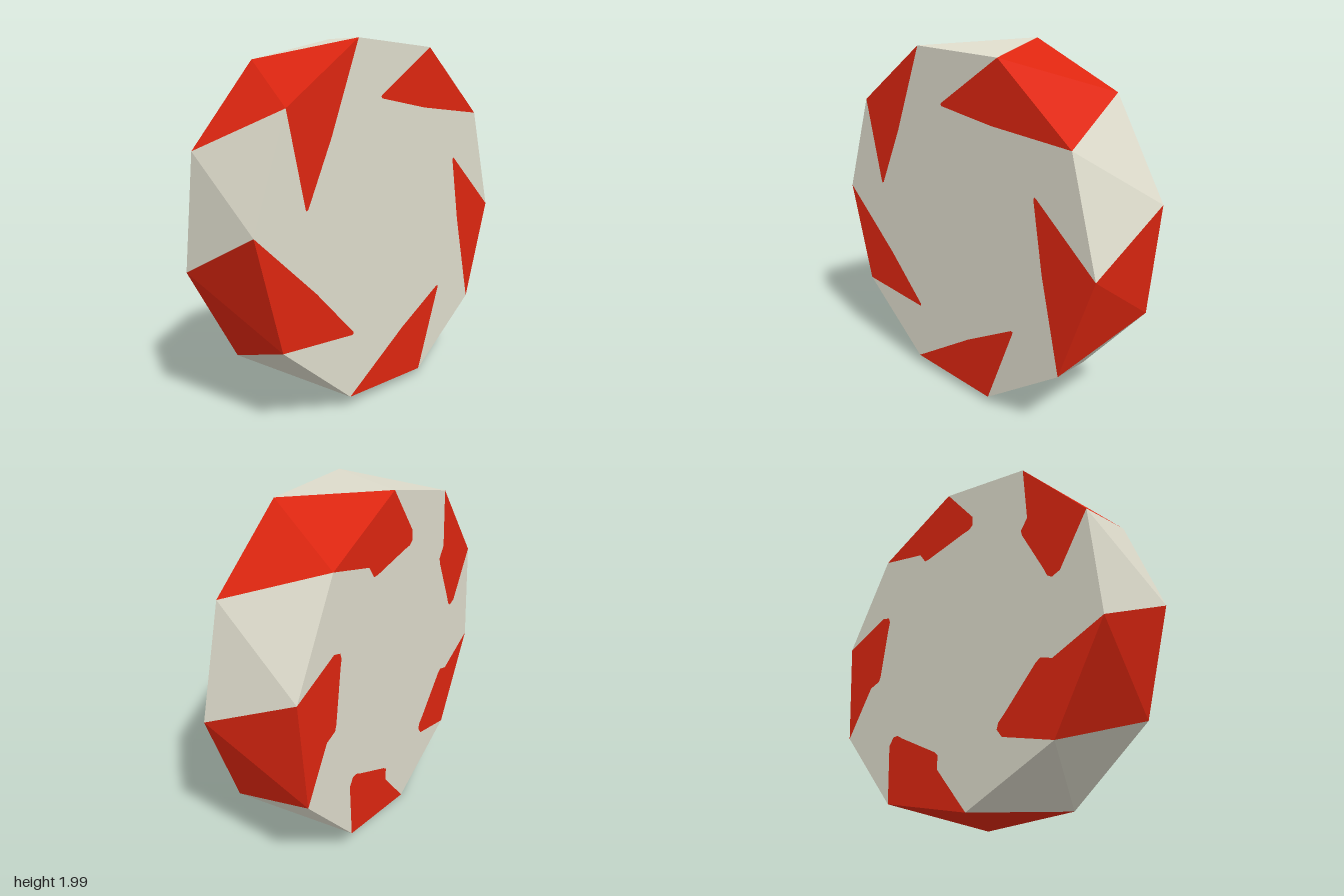
import * as THREE from 'three';

const HALF = 0.277;          // half thickness of the disc
const START_A = 38;          // first painted corner on the +x cap (degrees)
const START_B = 23.3;        // same corner on the twisted -x cap

// Painted flash outlines, as [degrees from the first corner, radius]
const FLASH_A = [[0, 1], [-27.2, 0.678], [-27.9, 0.67], [-27.2, 0.66], [6.3, 0.67], [36, 1]];
const FLASH_B = [[0, 1], [-14.4, 0.745], [-15.2, 0.69], [-13.2, 0.665], [-9, 0.655],
  [17.6, 0.656], [20.3, 0.672], [21.4, 0.75], [36, 1]];

// Point in (z, y) around the disc axis
const polar = (deg, r) => {
  const a = THREE.MathUtils.degToRad(deg);
  return [Math.cos(a) * r, Math.sin(a) * r];
};

export function createModel() {
  const cream = new THREE.MeshStandardMaterial({ color: 0xdedccc });
  cream.name = 'cream';
  const red = new THREE.MeshStandardMaterial({ color: 0xde2610 });
  red.name = 'red';

  const model = new THREE.Group();
  model.name = 'peppermintDisc';
  const disc = new THREE.Group();
  disc.name = 'disc';
  disc.position.y = 1;
  model.add(disc);

  const add = (geometry, material, name) => {
    const mesh = new THREE.Mesh(geometry, material);
    mesh.name = name;
    disc.add(mesh);
  };

  // Flat caps: red flashes, and a cream face fitting between them
  const addCap = (side, start, flash, name) => {
    const toShape = (pts) => {
      const shape = new THREE.Shape(pts.map(([z, y]) => new THREE.Vector2(-side * z, y)));
      return new THREE.ShapeGeometry(shape).rotateY(side * Math.PI / 2).translate(side * HALF, 0, 0);
    };
    const outline = [];
    for (let k = 0; k < 5; k++) {
      const pts = flash.map(([d, r]) => polar(start + 72 * k + d, r));
      outline.push(...pts);
      add(toShape(pts), red, name + 'Flash' + (k + 1));
    }
    add(toShape(outline), cream, name + 'Face');
  };
  addCap(1, START_A, FLASH_A, 'leftCap');
  addCap(-1, START_B, FLASH_B, 'rightCap');

  // Twisted rim: ten panels of two triangles, alternating red and cream
  const corner = (side, deg) => {
    const [z, y] = polar(deg, 1);
    return new THREE.Vector3(side * HALF, y, z);
  };
  for (let i = 0; i < 10; i++) {
    const a0 = corner(1, START_A + 36 * i), a1 = corner(1, START_A + 36 * (i + 1));
    const b0 = corner(-1, START_B + 36 * i), b1 = corner(-1, START_B + 36 * (i + 1));
    const panel = new THREE.BufferGeometry().setFromPoints([a0, a1, b1, a0, b1, b0]);
    panel.computeVertexNormals();
    add(panel, i % 2 ? cream : red, 'rimPanel' + (i + 1));
  }
  return model;
}
